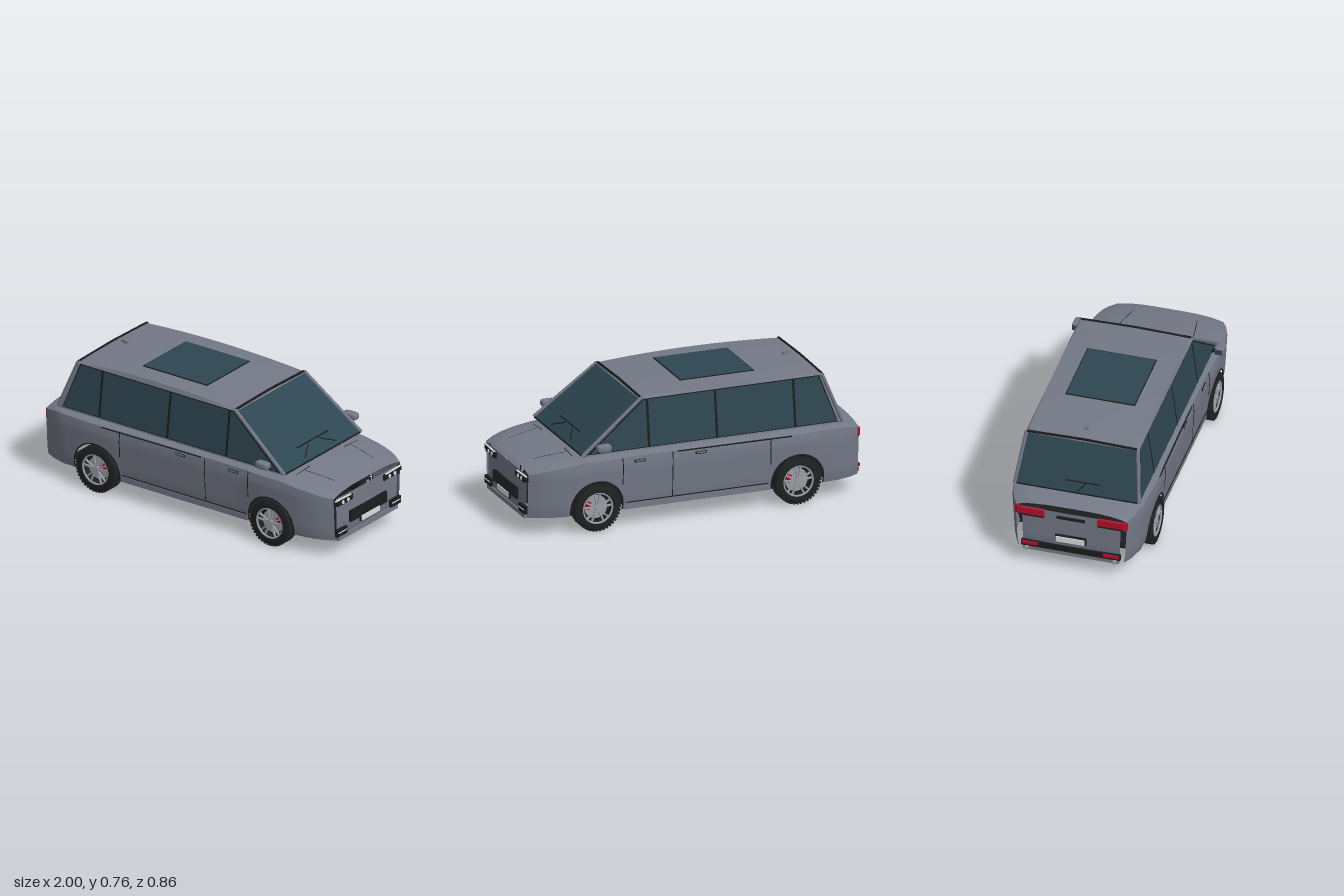
import * as THREE from 'three';
import { mergeGeometries, toCreasedNormals } from 'three/addons/utils/BufferGeometryUtils.js';

const make = (name, color, side = THREE.FrontSide) => {
  const m = new THREE.MeshStandardMaterial({ color, side });
  m.name = name;
  return m;
};
const V = (x, y, z) => new THREE.Vector3(x, y, z);

// Linear interpolation through [position, value] pairs
function lerpTable(table, t) {
  if (t <= table[0][0]) return table[0][1];
  for (let i = 1; i < table.length; i++) {
    const [a, va] = table[i - 1], [b, vb] = table[i];
    if (t <= b) return va + (vb - va) * (t - a) / (b - a);
  }
  return table[table.length - 1][1];
}

// Surface through rows of points
function loft(sections) {
  const n = sections[0].length, index = [];
  for (let i = 0; i < sections.length - 1; i++) {
    for (let j = 0; j < n - 1; j++) {
      const a = i * n + j, b = a + n;
      index.push(a, a + 1, b, b, a + 1, b + 1);
    }
  }
  const g = new THREE.BufferGeometry().setFromPoints(sections.flat());
  g.setIndex(index);
  return toCreasedNormals(g, 0.6);
}

// Body shape rules: half width, crown height, arch cut-outs
const WHEEL_X = 0.59, WHEEL_Y = 0.134, ARCH = 0.153;
const WIDTH = [[-0.97, 0.315], [-0.92, 0.345], [-0.83, 0.375], [0.78, 0.375], [0.86, 0.36], [0.92, 0.335], [0.97, 0.305]];
const CROWN = [[-0.97, 0.405], [-0.86, 0.432], [0.66, 0.432], [0.8, 0.414], [0.9, 0.397], [0.97, 0.38]];
const BULGE = [[0.1, 0.94], [0.15, 0.968], [0.25, 0.985], [0.35, 1], [0.4, 0.985], [0.43, 0.96]];
const crown = x => lerpTable(CROWN, x);
const shoulder = x => crown(x) - 0.028;
function sideZ(x, y) {
  const d = Math.abs(Math.abs(x) - WHEEL_X);
  const flare = d < 0.2 ? 0.01 * Math.cos(d / 0.2 * Math.PI / 2) : 0;
  return (lerpTable(WIDTH, x) + flare) * lerpTable(BULGE, y);
}
function sill(x) {
  const d = Math.abs(Math.abs(x) - WHEEL_X);
  return d < ARCH ? Math.max(0.1, WHEEL_Y + Math.sqrt(ARCH * ARCH - d * d)) : 0.1;
}
const topY = (x, z) => crown(x) - 0.028 * Math.pow(Math.abs(z) / lerpTable(WIDTH, x), 3);
const cabinZ = y => 0.353 - (y - 0.43) / 0.285 * 0.037;

export function createModel() {
  const car = new THREE.Group();
  car.name = 'car';
  const paint = make('bodyPaint', 0x747987, THREE.DoubleSide);
  const glass = make('tintedGlass', 0x2e4651, THREE.DoubleSide);
  const black = make('blackTrim', 0x1b1c1d, THREE.DoubleSide);
  const rubber = make('tyreRubber', 0x202122);
  const silver = make('silver', 0x9a9fa5);
  const red = make('redLens', 0xb3102a);
  const white = make('clearLens', 0xdde0e2);

  const add = (name, geo, mat, parent = car) => {
    const m = new THREE.Mesh(geo, mat);
    m.name = name;
    parent.add(m);
    return m;
  };
  const box = (name, mat, w, h, d, x, y, z, parent) => {
    const m = add(name, new THREE.BoxGeometry(w, h, d), mat, parent);
    m.position.set(x, y, z);
    return m;
  };
  const line = (name, pts, r, mat = black) => {
    const path = new THREE.CurvePath();
    for (let i = 1; i < pts.length; i++) path.add(new THREE.LineCurve3(pts[i - 1], pts[i]));
    return add(name, new THREE.TubeGeometry(path, Math.max(1, (pts.length - 1) * 2), r, 6), mat);
  };
  const poly = (name, pts, mat) => add(name, loft([[pts[0], pts[1]], [pts[3], pts[2]]]), mat);

  // Lower shell: sides, shoulders, hood and rear deck in one lofted skin
  const xs = [];
  for (let i = 0; i <= 40; i++) xs.push(-0.97 + 1.94 * i / 40);
  const archXs = [];
  for (const c of [-WHEEL_X, WHEEL_X]) {
    archXs.push(c - 0.154, c + 0.154);
    for (let i = 0; i <= 24; i++) archXs.push(c - Math.cos(Math.PI * i / 24) * 0.1525);
  }
  const allXs = xs.filter(x => Math.abs(Math.abs(x) - WHEEL_X) > 0.16).concat(archXs).sort((a, b) => a - b);
  add('bodyShell', loft(allXs.map(x => {
    const half = [];
    for (let i = 0; i <= 10; i++) {
      const y = sill(x) + (shoulder(x) - sill(x)) * i / 10;
      half.push(V(x, y, sideZ(x, y)));
    }
    const edge = half[10].z;
    for (const f of [0.97, 0.9, 0.75, 0.5, 0.25]) half.push(V(x, crown(x) - 0.028 * Math.pow(f, 4), edge * f));
    const other = half.slice().reverse().map(p => V(p.x, p.y, -p.z));
    return [...half, V(x, crown(x), 0), ...other];
  })), paint);

  // Floor, front and rear panels
  box('floorPan', black, 1.72, 0.012, 0.55, 0.02, 0.105, 0);
  for (const s of [1, -1]) {
    const end = s > 0 ? 'front' : 'rear';
    const rows = [0.095, 0.12, 0.2, 0.28, s > 0 ? 0.347 : 0.37].map((y, k) =>
      [-1, -0.75, -0.4, 0, 0.4, 0.75, 1].map(f => V(s * (0.974 - 0.006 * f * f - (k ? 0 : 0.012)), y, f * (0.27 + y * 0.03))));
    add(end + 'Panel', loft(rows), paint);
    box(end + 'Lip', paint, 0.03, 0.025, 0.54, s * 0.965, 0.105, 0);
  }

  // Cabin frame, roof and pillars
  const corner = (x, y, s) => V(x, y, s * cabinZ(y));
  const ring = (xr, xf, y) => [corner(xr, y, 1), corner(xf, y, 1), corner(xf, y, -1), corner(xr, y, -1), corner(xr, y, 1)];
  add('cabinFrame', loft([ring(-0.86, 0.67, 0.43), ring(-0.75, 0.31, 0.715)]), paint);
  const roof = [];
  for (let i = 0; i <= 16; i++) {
    const u = i / 8 - 1, x = -0.22 + u * 0.535, y = 0.715 + 0.02 * (1 - u * u);
    roof.push([-1, -0.97, -0.8, -0.5, 0, 0.5, 0.8, 0.97, 1].map((f, k) =>
      V(x, k % 8 ? y + 0.007 * (1 - f * f) : 0.71, f * 0.322)));
  }
  add('roof', loft(roof), paint);
  for (const [xb, xt, name] of [[0.67, 0.312, 'frontEdge'], [-0.86, -0.752, 'rearEdge']]) {
    for (const s of [1, -1]) line(name + 'Pillar', [corner(xb, 0.435, s), corner(xt, 0.714, s)], 0.011, paint);
    line(name + 'RoofTrim', [V(xt, 0.717, -0.312), V(xt, 0.724, 0), V(xt, 0.717, 0.312)], 0.007);
    line(name + 'BaseTrim', [V(xb, 0.436, -0.342), V(xb, 0.436, 0.342)], 0.005);
    // End windows
    const o = Math.sign(xb) * 0.004;
    const at = (t, z) => V(xb + (xt - xb) * t + o, 0.43 + 0.285 * t + 0.002, z);
    poly(name + 'Window', [at(0.02, -0.343), at(0.02, 0.343), at(0.98, 0.306), at(0.98, -0.306)], glass);
  }

  // Side windows with black surrounds and pillars
  for (const s of [1, -1]) {
    const w = (x, y, o) => V(x, y, s * (cabinZ(y) + o));
    poly('windowSurround', [w(-0.832, 0.439, 0.002), w(0.645, 0.439, 0.002), w(0.302, 0.709, 0.002), w(-0.736, 0.709, 0.002)], black);
    poly('sideWindow', [w(-0.825, 0.444, 0.004), w(0.625, 0.444, 0.004), w(0.297, 0.704, 0.004), w(-0.729, 0.704, 0.004)], glass);
    for (const x of [-0.58, -0.12, 0.28]) {
      poly('windowPillar', [w(x - 0.007, 0.444, 0.007), w(x + 0.007, 0.444, 0.007), w(x + 0.007, 0.705, 0.007), w(x - 0.007, 0.705, 0.007)], black);
    }
  }

  // Sunroof and antenna
  box('sunroofSeal', black, 0.435, 0.004, 0.395, -0.185, 0.741, 0);
  box('sunroof', glass, 0.425, 0.005, 0.385, -0.185, 0.7425, 0);
  box('antennaBase', paint, 0.035, 0.018, 0.016, -0.67, 0.744, 0).rotation.z = -0.15;

  // Wipers
  const shield = (y, z) => V(0.67 - (y - 0.43) * 1.263 + 0.012, y + 0.006, z);
  const rearGlass = (y, z) => V(-0.86 + (y - 0.43) * 0.386 - 0.01, y, z);
  for (const s of [1, -1]) {
    line('wiperArm', [shield(0.452, s * 0.14), shield(0.488, s * 0.05)], 0.003);
    line('wiperBlade', [shield(0.495, s * 0.005), shield(0.495, s * 0.138)], 0.004);
  }
  line('rearWiper', [rearGlass(0.445, 0), rearGlass(0.5, 0.05)], 0.003);
  line('rearWiperBlade', [rearGlass(0.5, -0.07), rearGlass(0.5, 0.13)], 0.0035);

  // Details repeated on both sides
  for (const s of [1, -1]) {
    const skin = (x, y) => V(x, y, s * sideZ(x, y));
    const seam = (pts, r = 0.0028) => line('doorSeam', pts.map(p => skin(...p)), r);
    for (const x of [-0.43, 0.145, 0.44]) {
      seam([[x, x === 0.145 ? 0.14 : 0.25], [x, 0.3], [x, 0.35], [x, 0.4]]);
    }
    seam([[-0.42, 0.14], [0.42, 0.14]]);
    seam([[-0.55, 0.399], [0.12, 0.399]], 0.004);
    for (const x of [-0.02, 0.34]) {
      box('doorHandle', black, 0.065, 0.014, 0.008, x, 0.376, s * 0.373);
      box('doorHandleGrip', paint, 0.055, 0.007, 0.01, x, 0.378, s * 0.376);
    }
    box('sideSill', paint, 0.86, 0.032, 0.03, 0, 0.117, s * 0.348);

    // Arch edging
    for (const c of [-WHEEL_X, WHEEL_X]) {
      const pts = [];
      for (let i = 0; i <= 20; i++) {
        const a = -0.2 + (Math.PI + 0.4) * i / 20;
        pts.push(skin(c + Math.cos(a) * ARCH, WHEEL_Y + Math.sin(a) * ARCH));
      }
      line('archTrim', pts, 0.004);
    }

    // Mirrors
    line('mirrorArm', [V(0.575, 0.445, s * 0.35), V(0.57, 0.478, s * 0.385)], 0.009);
    const shell = add('mirrorShell', new THREE.SphereGeometry(1, 16, 8), paint);
    const p = shell.geometry.attributes.position;
    for (let i = 0; i < p.count; i++) {
      const q = [p.getX(i), p.getY(i), p.getZ(i)].map(v => Math.sign(v) * Math.pow(Math.abs(v), 0.45));
      p.setXYZ(i, q[0] * 0.042, q[1] * 0.02, q[2] * 0.026);
    }
    shell.geometry.computeVertexNormals();
    shell.position.set(0.565, 0.486, s * 0.405);
    box('mirrorGlass', glass, 0.004, 0.03, 0.042, 0.522, 0.486, s * 0.405);

    // Hood creases
    line('hoodCrease', [V(0.71, topY(0.71, 0.21), s * 0.21), V(0.8, topY(0.8, 0.195), s * 0.195), V(0.885, topY(0.885, 0.18), s * 0.18)], 0.0025);
    line('cowlVent', [V(0.7, topY(0.7, 0.16) + 0.001, s * 0.16), V(0.7, topY(0.7, 0.28) + 0.001, s * 0.28)], 0.003);

    // Front lamps
    box('headlightHousing', black, 0.014, 0.032, 0.14, 0.976, 0.318, s * 0.213);
    box('headlightCorner', black, 0.012, 0.03, 0.035, 0.967, 0.325, s * 0.292).rotation.y = s * 0.6;
    box('daylightStrip', white, 0.01, 0.005, 0.145, 0.979, 0.337, s * 0.232).rotation.x = -s * 0.03;
    for (const z of [0.19, 0.237]) {
      const lamp = add('headlamp', new THREE.CylinderGeometry(0.011, 0.011, 0.008, 16), white);
      lamp.rotation.z = Math.PI / 2;
      lamp.position.set(0.983, 0.316, s * z);
    }
    box('fogLightHousing', black, 0.022, 0.042, 0.09, 0.975, 0.142, s * 0.246);
    box('fogLight', white, 0.004, 0.005, 0.075, 0.987, 0.145, s * 0.246);

    // Rear lamps
    box('tailLight', red, 0.02, 0.045, 0.15, -0.974, 0.346, s * 0.225);
    box('tailLightCorner', red, 0.014, 0.045, 0.025, -0.968, 0.346, s * 0.307).rotation.y = s * 0.5;
    box('tailLightBar', black, 0.006, 0.008, 0.14, -0.984, 0.327, s * 0.225);
    box('rearReflector', red, 0.012, 0.018, 0.09, -0.987, 0.142, s * 0.23);
    const pipe = add('exhaustTip', new THREE.CylinderGeometry(0.012, 0.012, 0.03, 16), silver);
    pipe.rotation.z = Math.PI / 2;
    pipe.position.set(-0.98, 0.108, s * 0.25);
  }

  // Grille, plates and rear bumper
  box('grille', black, 0.018, 0.065, 0.33, 0.977, 0.203, 0);
  for (let i = 0; i < 6; i++) box('grilleSlat', black, 0.006, 0.005, 0.32, 0.988, 0.178 + i * 0.01, 0);
  box('frontPlateFrame', black, 0.01, 0.037, 0.172, 0.989, 0.167, 0);
  box('frontPlate', white, 0.005, 0.03, 0.162, 0.9955, 0.167, 0);
  box('frontBadge', silver, 0.006, 0.014, 0.016, 0.977, 0.353, 0);
  box('rearBumperBar', black, 0.018, 0.035, 0.56, -0.975, 0.135, 0);
  box('rearPlateFrame', black, 0.016, 0.042, 0.175, -0.983, 0.205, 0);
  box('rearPlate', white, 0.006, 0.033, 0.162, -0.994, 0.205, 0);
  box('rearHandle', black, 0.012, 0.014, 0.16, -0.978, 0.34, 0);

  // Wheels: tyre with tread blocks, rim, paired spokes, disc and caliper
  const tyreProfile = [[0.088, -0.04], [0.115, -0.042], [0.126, -0.036], [0.13, -0.025], [0.13, 0.025], [0.126, 0.036], [0.115, 0.042], [0.09, 0.04], [0.086, 0.02], [0.086, -0.03], [0.088, -0.04]];
  const tyreGeo = toCreasedNormals(new THREE.LatheGeometry(tyreProfile.map(p => new THREE.Vector2(...p)), 48).rotateX(Math.PI / 2), 0.6);
  const lugs = [], spokes = [];
  for (let i = 0; i < 40; i++) {
    for (const k of [-1, 1]) {
      lugs.push(new THREE.BoxGeometry(0.012, 0.012, 0.033).translate(0, 0.128, k * 0.021).rotateZ((i + k * 0.25) * Math.PI / 20));
    }
  }
  for (let i = 0; i < 5; i++) {
    for (const k of [-1, 1]) {
      spokes.push(new THREE.BoxGeometry(0.009, 0.072, 0.01).translate(0, 0.05, 0).rotateZ(i * Math.PI * 0.4 + k * 0.2));
    }
  }
  const lugGeo = mergeGeometries(lugs), spokeGeo = mergeGeometries(spokes);
  for (const x of [-WHEEL_X, WHEEL_X]) {
    for (const s of [1, -1]) {
      const wheel = new THREE.Group();
      wheel.name = x > 0 ? 'frontWheel' : 'rearWheel';
      wheel.position.set(x, WHEEL_Y, s * 0.342);
      wheel.scale.z = s;
      car.add(wheel);
      add('tyre', tyreGeo, rubber, wheel);
      add('treadBlocks', lugGeo, rubber, wheel);
      add('rimRing', new THREE.TorusGeometry(0.086, 0.006, 8, 40), silver, wheel).position.z = 0.034;
      add('spokes', spokeGeo, silver, wheel).position.z = 0.03;
      const hub = (name, r, d, z, mat) => add(name, new THREE.CylinderGeometry(r, r, d, 32).rotateX(Math.PI / 2), mat, wheel).position.z = z;
      hub('hubCap', 0.02, 0.016, 0.031, silver);
      hub('brakeDisc', 0.066, 0.008, 0.004, silver);
      hub('wheelBack', 0.087, 0.006, -0.012, black);
      box('brakeCaliper', red, 0.024, 0.042, 0.016, 0.05, 0.016, 0.014, wheel).rotation.z = 0.3;
    }
  }
  return car;
}
